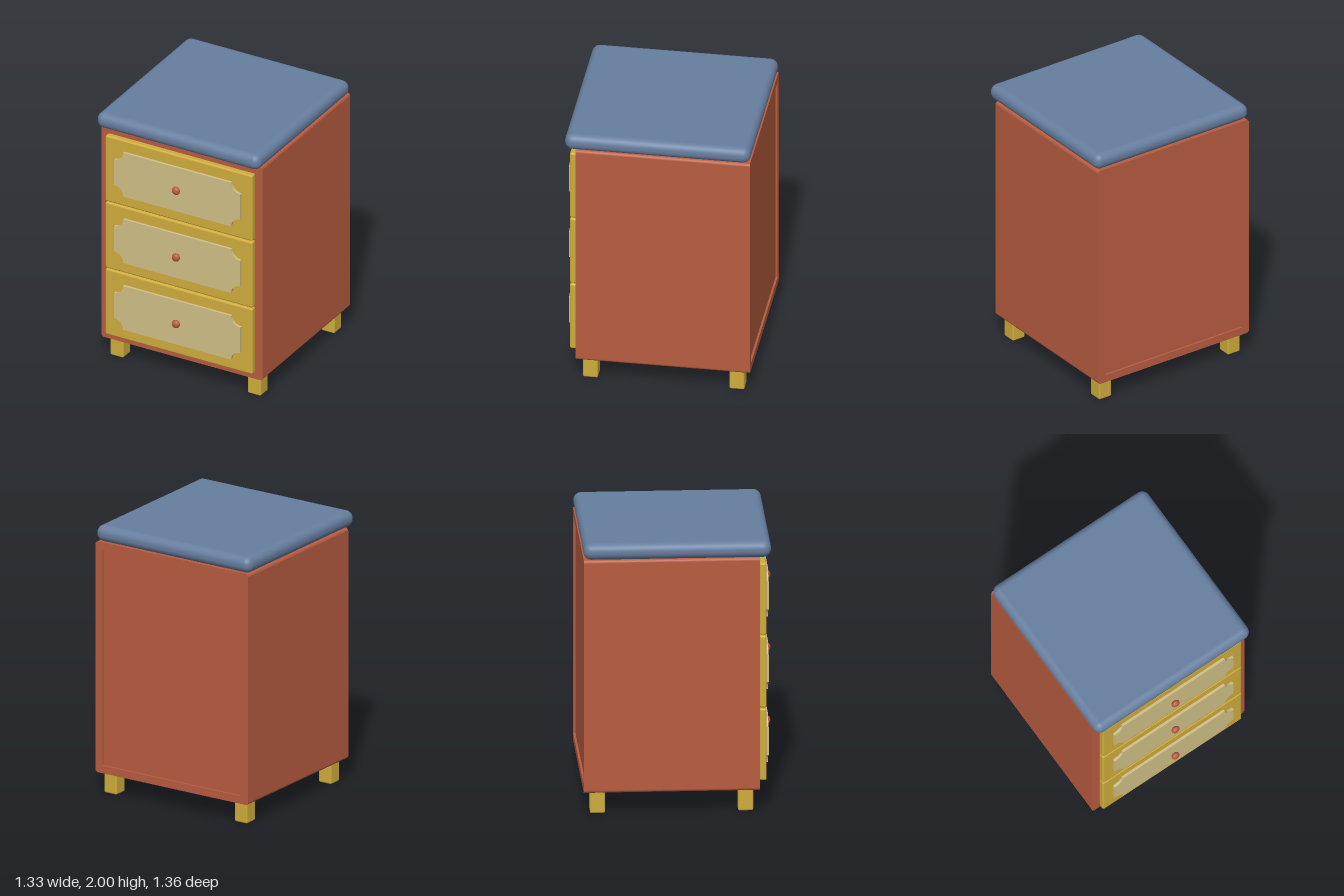
import * as THREE from 'three';
import { RoundedBoxGeometry } from 'three/addons/geometries/RoundedBoxGeometry.js';

const paint = (name, color) => {
  const m = new THREE.MeshStandardMaterial({ color });
  m.name = name;
  return m;
};

export function createModel() {
  const red = paint('terracotta', 0xb85c40);
  const yellow = paint('mustard', 0xcfac3c);
  const cream = paint('cream', 0xd0bf86);
  const blue = paint('slateBlue', 0x667e9f);

  const model = new THREE.Group();
  model.name = 'drawerCabinet';

  const add = (parent, name, geometry, material, x, y, z) => {
    const mesh = new THREE.Mesh(geometry, material);
    mesh.name = name;
    mesh.position.set(x, y, z);
    parent.add(mesh);
    return mesh;
  };

  // Rectangle with rounded corners, centred on the origin
  const roundedRect = (w, h, r) => {
    const s = new THREE.Shape();
    const x = w / 2, y = h / 2;
    s.moveTo(x, r - y);
    s.absarc(x - r, y - r, r, 0, Math.PI / 2);
    s.absarc(r - x, y - r, r, Math.PI / 2, Math.PI);
    s.absarc(r - x, r - y, r, Math.PI, Math.PI * 1.5);
    s.absarc(x - r, r - y, r, Math.PI * 1.5, Math.PI * 2);
    return s;
  };

  // Carcass: a frame running front to back, filled by a slightly recessed core
  const frame = roundedRect(1.312, 1.725, 0.022);
  frame.holes.push(roundedRect(1.19, 1.61, 0.005));
  const frameGeo = new THREE.ExtrudeGeometry(frame, { depth: 1.25, bevelEnabled: false, curveSegments: 6 });
  add(model, 'cabinetFrame', frameGeo, red, 0, 1.0225, -0.68);
  add(model, 'cabinetCore', new THREE.BoxGeometry(1.2, 1.62, 1.23), red, 0, 1.0225, -0.05);

  // Padded top
  add(model, 'cabinetTop', new RoundedBoxGeometry(1.33, 0.12, 1.33, 6, 0.056), blue, 0, 1.94, -0.015);

  // Legs
  for (const x of [-0.56, 0.56]) {
    for (const z of [-0.58, 0.47]) {
      add(model, 'leg', new RoundedBoxGeometry(0.108, 0.17, 0.108, 3, 0.012), yellow, x, 0.085, z);
    }
  }

  // Drawer panel outline with scooped corners
  const panelShape = new THREE.Shape();
  const px = 0.514, py = 0.177, scoop = 0.074;
  panelShape.moveTo(px - scoop, py);
  panelShape.absarc(px, py, scoop, Math.PI, Math.PI * 1.5, false);
  panelShape.lineTo(px, scoop - py);
  panelShape.absarc(px, -py, scoop, Math.PI / 2, Math.PI, false);
  panelShape.lineTo(scoop - px, -py);
  panelShape.absarc(-px, -py, scoop, 0, Math.PI / 2, false);
  panelShape.lineTo(-px, py - scoop);
  panelShape.absarc(-px, py, scoop, Math.PI * 1.5, Math.PI * 2, false);
  panelShape.closePath();
  const panelGeo = new THREE.ExtrudeGeometry(panelShape, { depth: 0.024, bevelEnabled: false, curveSegments: 8 });

  // Three drawers, each with a panel and a knob
  const frontGeo = new RoundedBoxGeometry(1.2, 0.532, 0.05, 4, 0.014);
  const knobGeo = new THREE.SphereGeometry(0.031, 20, 14);
  for (const y of [0.482, 1.021, 1.56]) {
    const drawer = new THREE.Group();
    drawer.name = 'drawer';
    drawer.position.y = y;
    add(drawer, 'drawerFront', frontGeo, yellow, 0, 0, 0.595);
    add(drawer, 'drawerPanel', panelGeo, cream, 0, 0, 0.615);
    add(drawer, 'drawerKnob', knobGeo, red, 0, 0, 0.658).scale.z = 0.75;
    model.add(drawer);
  }
  return model;
}
